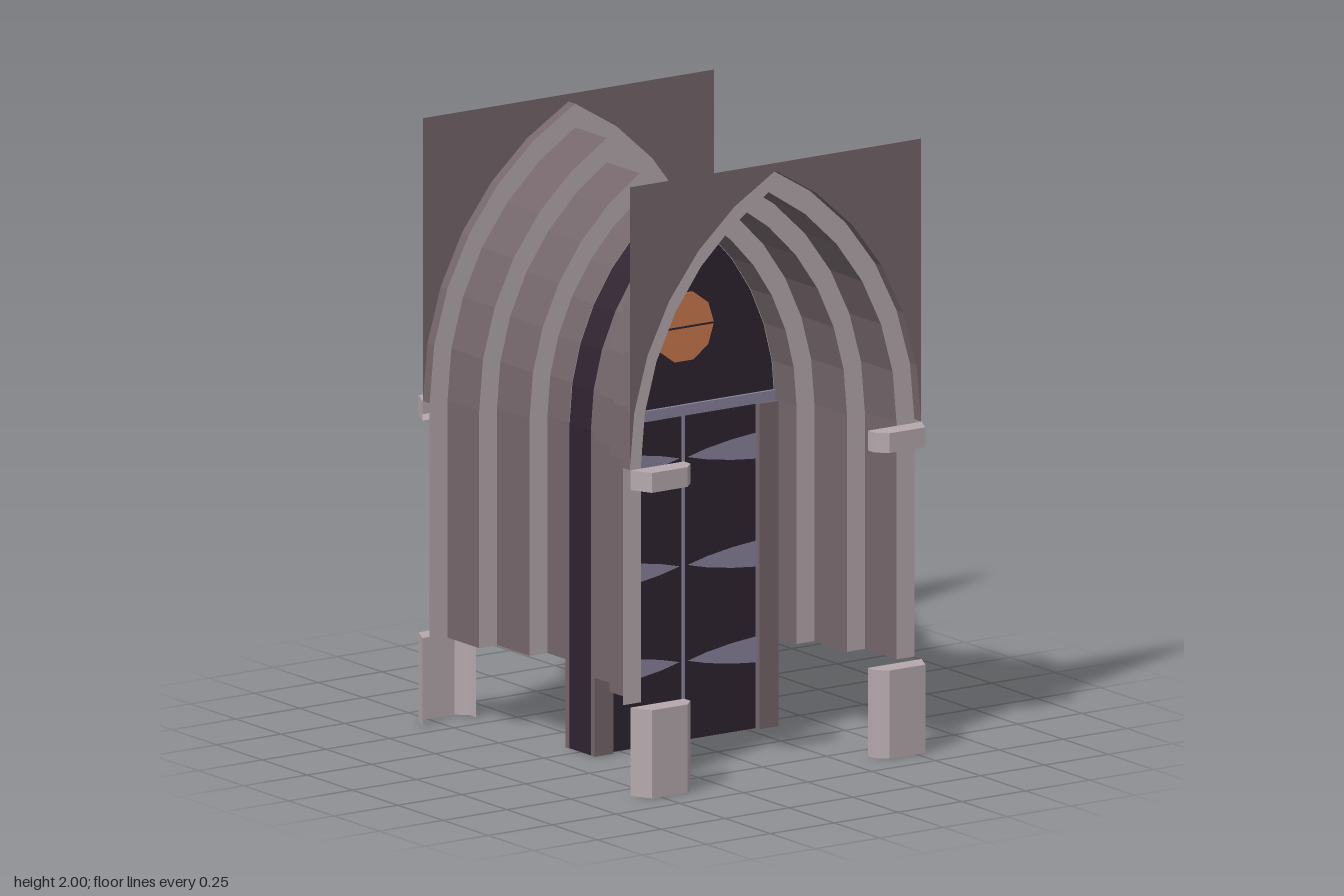
import * as THREE from 'three';

const mat = (name, color) => {
  const m = new THREE.MeshStandardMaterial({ color, side: THREE.DoubleSide });
  m.name = name;
  return m;
};

const SPRING = 1.07, CENTRE = -0.4335, SEGMENTS = 6, FOOT = 0.29;

// Pointed arch of half width w, from the right foot over the apex to the left foot
function archPoints(w, foot) {
  const r = w - CENTRE, end = Math.acos(-CENTRE / r), right = [];
  for (let i = 0; i <= SEGMENTS; i++) {
    const a = end * i / SEGMENTS;
    right.push(new THREE.Vector2(CENTRE + r * Math.cos(a), SPRING + r * Math.sin(a)));
  }
  if (foot < SPRING) right.unshift(new THREE.Vector2(w, foot));
  right[right.length - 1].x = 0;
  const left = right.slice(0, -1).reverse().map(p => new THREE.Vector2(-p.x, p.y));
  return [...right, ...left];
}

// Flat-shaded open band swept from z0 to z1 along a line of points
function band(points, z0, z1) {
  const v = [];
  for (let i = 0; i < points.length - 1; i++) {
    const a = points[i], b = points[i + 1];
    v.push(a.x, a.y, z1, b.x, b.y, z1, a.x, a.y, z0);
    v.push(b.x, b.y, z1, b.x, b.y, z0, a.x, a.y, z0);
  }
  const g = new THREE.BufferGeometry();
  g.setAttribute('position', new THREE.Float32BufferAttribute(v, 3));
  g.computeVertexNormals();
  return g;
}

const flat = (points, z) =>
  new THREE.ShapeGeometry(new THREE.Shape(points)).translate(0, 0, z);

export function createModel() {
  const stone = mat('dark stone', 0x74666b);
  const pale = mat('pale stone', 0xb5a8ad);
  const wood = mat('dark wood', 0x2f2330);
  const iron = mat('iron', 0x87829a);
  const copper = mat('copper', 0xc9794c);

  const model = new THREE.Group();
  model.name = 'doubleSidedPortal';
  const add = (parent, name, geometry, material) => {
    const m = new THREE.Mesh(geometry, material);
    m.name = name;
    parent.add(m);
    return m;
  };
  const box = (parent, name, x0, x1, y0, y1, z0, z1, material) =>
    add(parent, name, new THREE.BoxGeometry(x1 - x0, y1 - y0, z1 - z0)
      .translate((x0 + x1) / 2, (y0 + y1) / 2, (z0 + z1) / 2), material);

  // Door slab and pointed panel above it
  add(model, 'doorPanel', new THREE.ExtrudeGeometry(
    new THREE.Shape(archPoints(0.358, 0)),
    { depth: 0.12, bevelEnabled: false }).translate(0, 0, -0.06), wood);

  function portalFace(name) {
    const face = new THREE.Group();
    face.name = name;

    // Stepped arch: each order has a soffit and a pale front ring
    const orders = [
      { w: 0.36, z0: 0.06, z1: 0.18 },
      { w: 0.43, z0: 0.18, z1: 0.36 },
      { w: 0.50, z0: 0.36, z1: 0.535 },
      { w: 0.57, z0: 0.535, z1: 0.572 },
    ];
    orders.forEach(({ w, z0, z1 }, i) => {
      const last = i === orders.length - 1;
      add(face, 'archSoffit', band(archPoints(w, last ? SPRING : FOOT), z0, z1), stone);
      if (last) return;
      const outer = archPoints(orders[i + 1].w, FOOT);
      const inner = archPoints(w, FOOT).reverse();
      add(face, 'archRing', flat([...outer, ...inner], z1), pale);
    });

    // Wall around the top of the arch
    const wall = [...archPoints(0.57, SPRING),
      new THREE.Vector2(-0.57, 2), new THREE.Vector2(0.57, 2)];
    add(face, 'spandrelWall', flat(wall, 0.572), stone);

    // Chamfered plinths and capitals, open towards the wall
    const profile = [[0.57, 0.575], [0.535, 0.645], [0.395, 0.645], [0.36, 0.61], [0.36, 0.575]];
    for (const s of [1, -1]) {
      const outline = profile.map(([x, z]) => new THREE.Vector2(s * x, -z));
      if (s < 0) outline.reverse();
      for (const [part, y0, y1] of [['plinth', 0, FOOT], ['capital', 1.005, SPRING]]) {
        const g = new THREE.Group();
        g.name = part;
        g.rotation.x = -Math.PI / 2;
        add(g, part + 'Sides', band(outline, y0, y1), pale);
        add(g, part + 'Top', flat(outline, y1), pale);
        if (part === 'capital') {
          add(g, 'capitalUnderside', flat(outline, 0).rotateY(Math.PI).scale(-1, 1, 1)
            .translate(0, 0, y0), pale);
        }
        face.add(g);
      }

      // Door jamb
      const xs = [s * 0.285, s * 0.36].sort((a, b) => a - b);
      box(face, 'jamb', xs[0], xs[1], 0, SPRING, 0.06, 0.08, stone);

      // Tapered strap hinges
      const top = [[0.285, 0.043], [0.19, 0.034], [0.09, 0.018], [0.015, 0]];
      const strap = [...top, ...top.slice(0, -1).reverse().map(([x, y]) => [x, -y])]
        .map(([x, y]) => new THREE.Vector2(s * x, y));
      for (const y of [0.26, 0.575, 0.93]) {
        add(face, 'strapHinge', flat(strap, 0.064), iron).position.y = y;
      }
    }

    // Lintel bar, meeting strip and round window
    box(face, 'lintelBar', -0.355, 0.355, SPRING, 1.105, 0.06, 0.072, iron);
    box(face, 'meetingStrip', -0.005, 0.005, 0, SPRING, 0.06, 0.065, iron);
    add(face, 'roundWindow', new THREE.CylinderGeometry(0.117, 0.117, 0.007, 10)
      .rotateY(Math.PI / 2).rotateX(Math.PI / 2).translate(0, 1.36, 0.0635), copper);
    box(face, 'windowBar', -0.115, 0.115, 1.357, 1.363, 0.066, 0.069, wood);
    return face;
  }

  model.add(portalFace('frontPortal'));
  const back = portalFace('backPortal');
  back.rotation.y = Math.PI;
  model.add(back);
  return model;
}
